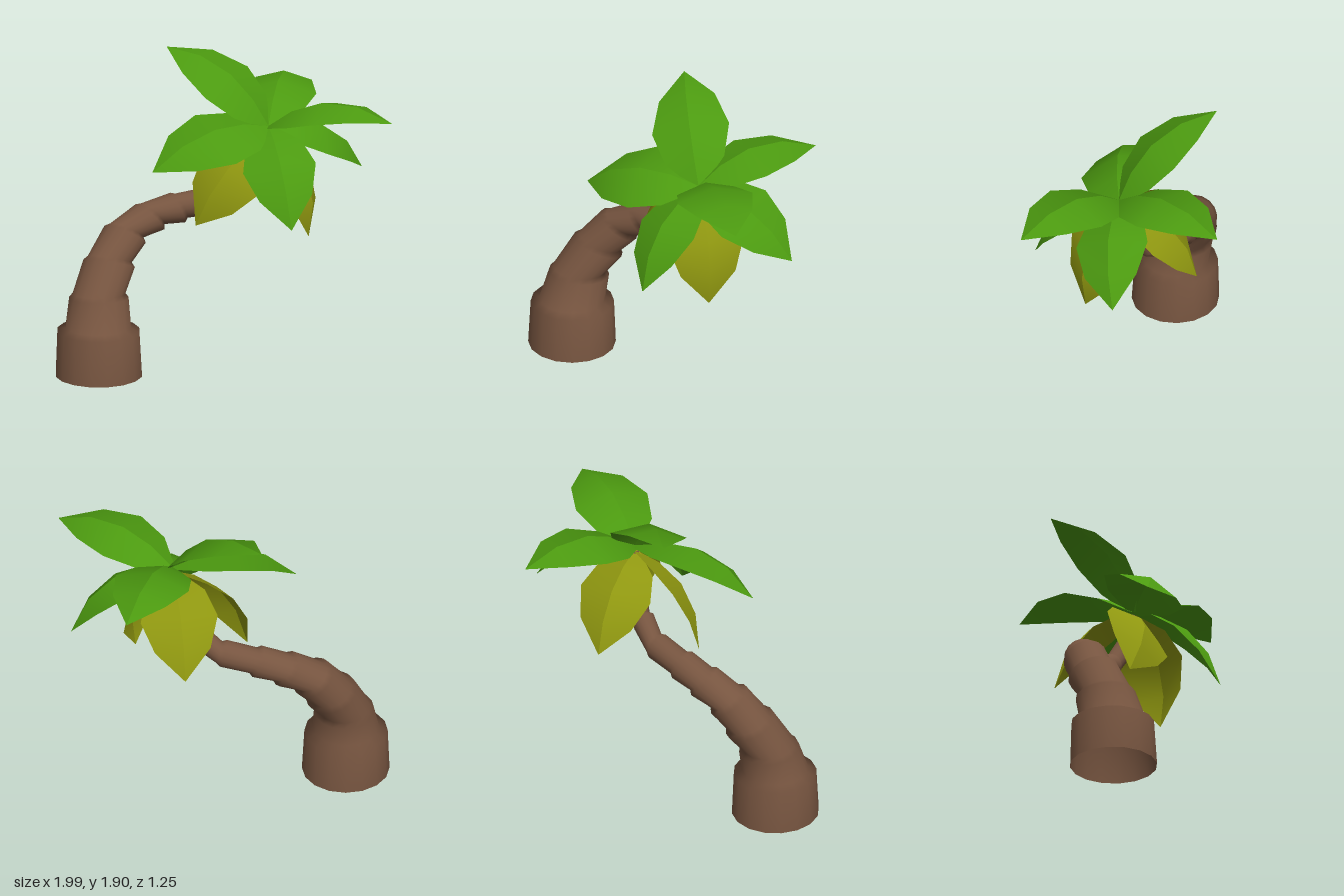
import * as THREE from 'three';

const V = (x, y, z) => new THREE.Vector3(x, y, z);

function material(name, color) {
  const m = new THREE.MeshStandardMaterial({ color, side: THREE.DoubleSide });
  m.name = name;
  return m;
}

function buildGeometry(points, index) {
  const geo = new THREE.BufferGeometry().setFromPoints(points);
  geo.setIndex(index);
  geo.computeVertexNormals();
  return geo;
}

// Trunk: short segments stacked along a bent path, joined by soft sloping lips
function trunkGeometry() {
  const sides = 16, lip = 0.025;
  const path = [
    V(-0.735, 0, 0.12), V(-0.737, 0.28, 0.115), V(-0.725, 0.468, 0.07), V(-0.645, 0.655, -0.015),
    V(-0.535, 0.81, -0.08), V(-0.375, 0.9, -0.115), V(-0.205, 0.95, -0.11), V(0, 0.992, -0.085),
    V(0.15, 1.075, -0.02), V(0.25, 1.23, 0.05), V(0.31, 1.46, 0.1),
  ];
  // start and end radius of each segment
  const radii = [
    [0.264, 0.251], [0.2, 0.182], [0.16, 0.158], [0.135, 0.135], [0.11, 0.115],
    [0.095, 0.1], [0.082, 0.085], [0.07, 0.075], [0.06, 0.062], [0.05, 0.03],
  ];
  const points = [], index = [];
  const addRing = (i, r, lift) => {
    // rings lag behind the bend, so each lip juts out on the outer side
    const t = i < 2 ? V(0, 1, 0) : path[i].clone().sub(path[i - 2]).normalize();
    const u = V(0, 0, 1).addScaledVector(t, -t.z).normalize();
    const w = t.clone().cross(u);
    for (let k = 0; k < sides; k++) {
      const a = (k / sides) * Math.PI * 2;
      points.push(path[i].clone().addScaledVector(t, lift)
        .addScaledVector(u, r * Math.cos(a)).addScaledVector(w, r * Math.sin(a)));
    }
  };
  radii.forEach(([start, end], i) => {
    addRing(i, start, i ? lip : 0);
    addRing(i + 1, end, 0);
  });
  for (let j = 0; j < radii.length * 2 - 1; j++) {
    for (let k = 0; k < sides; k++) {
      const a = j * sides + k, b = j * sides + (k + 1) % sides;
      index.push(a, b, b + sides, a, b + sides, a + sides);
    }
  }
  return buildGeometry(points, index);
}

// Leaf outline: [distance along the leaf, half width]
const outline = [[0, 0.03], [0.2, 0.18], [0.45, 0.235], [0.73, 0.17], [1, 0]];

// Leaf: two halves folded along an arched midrib; lean tips its face sideways
function leafGeometry(base, tip, arch, lean, width) {
  const chord = tip.clone().sub(base);
  const d = chord.clone().normalize();
  const n = V(0, 1, 0).add(lean);
  n.addScaledVector(d, -n.dot(d)).normalize();
  const s = n.clone().cross(d);
  const points = [], index = [];
  for (const side of [1, -1]) {
    const first = points.length;
    outline.forEach(([t, w], i) => {
      const half = w * width;
      const rib = base.clone().addScaledVector(chord, t)
        .addScaledVector(n, arch * Math.sin(Math.PI * t) ** 0.85);
      const edge = rib.clone().addScaledVector(s, side * half).addScaledVector(n, -0.3 * half);
      points.push(rib, edge);
      if (i === 0) return;
      const a = first + i * 2 - 2;
      if (side > 0) index.push(a, a + 2, a + 1, a + 1, a + 2, a + 3);
      else index.push(a, a + 1, a + 2, a + 1, a + 3, a + 2);
    });
  }
  return buildGeometry(points, index);
}

export function createModel() {
  const model = new THREE.Group();
  model.name = 'palmTree';
  const bark = material('barkBrown', 0x775540);
  const green = material('leafGreen', 0x4c9a10);
  const yellow = material('dryLeafYellow', 0x8f9710);

  const add = (name, geo, mat) => {
    const mesh = new THREE.Mesh(geo, mat);
    mesh.name = name;
    model.add(mesh);
  };

  add('trunk', trunkGeometry(), bark);

  // Crown: fresh leaves on top, dry leaves hanging below (tip, arch, lean, width)
  const flat = V(0, 0, 0);
  const crown = V(0.31, 1.5, 0.1);
  const freshLeaves = [
    [V(-0.44, 1.31, 0.29), 0.14, V(0, 0, 0.38), 1.1],
    [V(-0.23, 1.9, -0.33), 0.14, V(-0.1, 0, 0.14), 1],
    [V(0.585, 1.59, -0.63), 0.14, flat, 1],
    [V(0.92, 1.15, -0.08), 0.145, V(0, 0, 0.28), 0.97],
    [V(0.995, 1.59, 0.48), 0.14, flat, 1],
    [V(0.35, 1.0, 0.625), 0.13, V(-0.1, 0, 0), 0.95],
  ];
  freshLeaves.forEach(([tip, ...shape], i) =>
    add(`freshLeaf${i + 1}`, leafGeometry(crown, tip, ...shape), green));

  const dryBase = V(0.31, 1.47, 0.1);
  const dryLeaves = [
    [V(-0.145, 0.91, 0.14), 0.125, V(0, 0, 0.6), 1],
    [V(0.53, 0.83, 0.235), 0.135, flat, 1],
    [V(0.23, 0.985, -0.37), 0.125, flat, 1],
  ];
  dryLeaves.forEach(([tip, ...shape], i) =>
    add(`dryLeaf${i + 1}`, leafGeometry(dryBase, tip, ...shape), yellow));

  return model;
}
